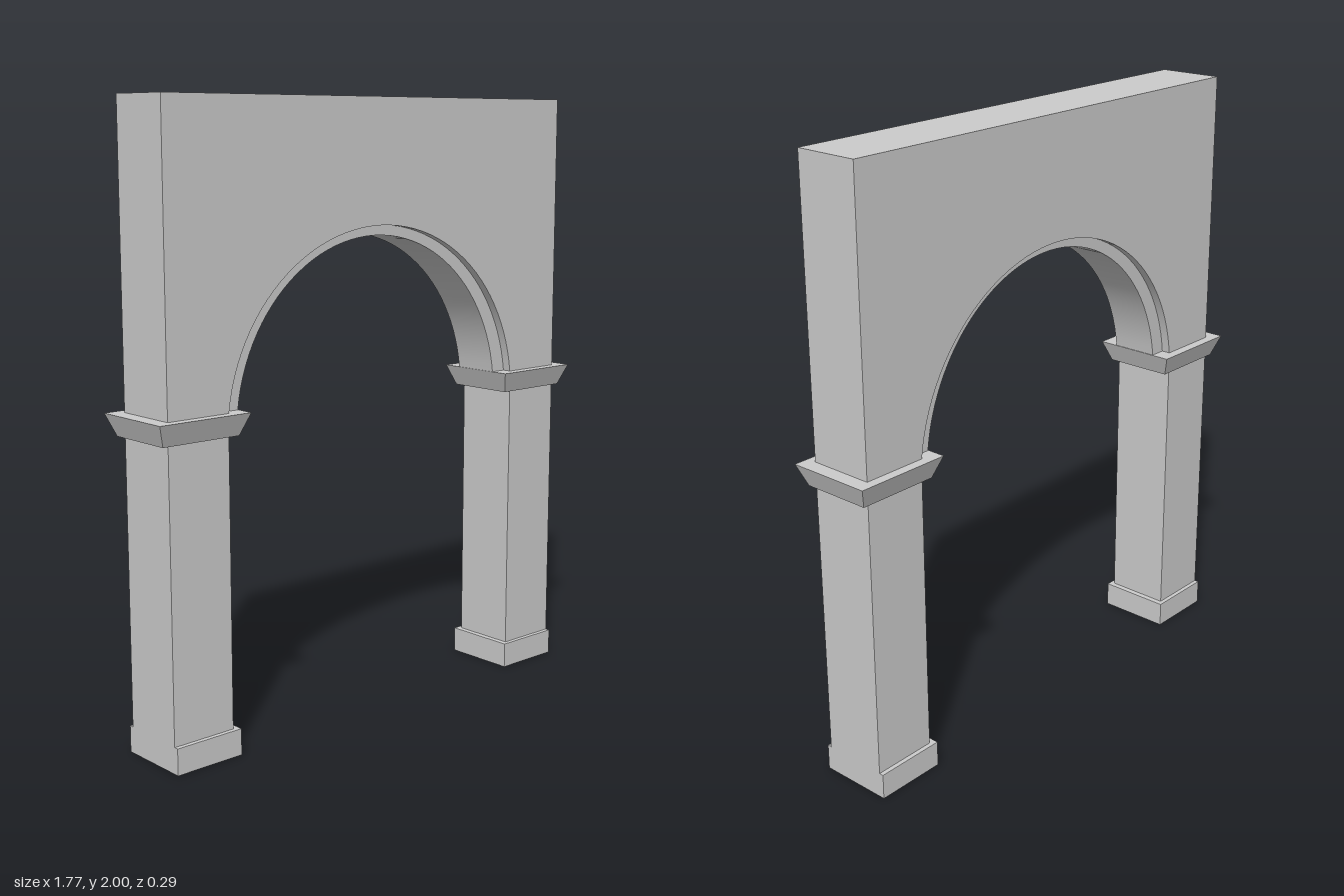
import * as THREE from 'three';
import { toCreasedNormals } from 'three/addons/utils/BufferGeometryUtils.js';

const WALL_X = 0.835, WALL_Z = 0.11;   // half width and half depth of the wall
const SPRING = 1.07, CENTRE = 1.0;     // top of capitals, centre height of the arch
const material = new THREE.MeshStandardMaterial({ color: 0xcccccc });

function addMesh(parent, name, geometry) {
  const mesh = new THREE.Mesh(geometry, material);
  mesh.name = name;
  parent.add(mesh);
  return mesh;
}

// Points of an elliptical arch from right springing, over the crown, to the left
function archPoints(rx, ry, bottom = SPRING, steps = 48) {
  const start = Math.asin((bottom - CENTRE) / ry);
  return Array.from({ length: steps + 1 }, (_, i) => {
    const a = start + (Math.PI - 2 * start) * i / steps;
    return new THREE.Vector2(rx * Math.cos(a), CENTRE + ry * Math.sin(a));
  });
}

// Extrude an xy outline symmetrically about z = 0
function slab(points, halfDepth) {
  const g = new THREE.ExtrudeGeometry(new THREE.Shape(points), { depth: 2 * halfDepth, bevelEnabled: false });
  g.translate(0, 0, -halfDepth);
  return toCreasedNormals(g, 0.5);
}

function rectangle(Type, x0, x1, z) {
  return new Type([[x0, -z], [x1, -z], [x1, z], [x0, z]].map(p => new THREE.Vector2(...p)));
}

// Upright rectangular tube, hollow like the visible underside
function hollowBlock(x0, x1, z, y0, y1, wall) {
  const shape = rectangle(THREE.Shape, x0, x1, z);
  shape.holes.push(rectangle(THREE.Path, x0 + wall, x1 - wall, z - wall));
  const g = new THREE.ExtrudeGeometry(shape, { depth: y1 - y0, bevelEnabled: false });
  return g.rotateX(-Math.PI / 2).translate(0, y0, 0);
}

// Capital that flares outward towards the top
function flaredBlock(x, y0, y1, bottom, top) {
  const g = new THREE.BoxGeometry(2, y1 - y0, 2);
  const p = g.attributes.position;
  for (let i = 0; i < p.count; i++) {
    const [hx, hz] = p.getY(i) > 0 ? top : bottom;
    p.setX(i, p.getX(i) * hx);
    p.setZ(i, p.getZ(i) * hz);
  }
  g.translate(x, (y0 + y1) / 2, 0);
  const flat = g.toNonIndexed();
  flat.computeVertexNormals();
  return flat;
}

export function createModel() {
  const model = new THREE.Group();
  model.name = 'archway';

  // Wall above the opening
  addMesh(model, 'archWall', slab([
    ...archPoints(0.618, 0.6),
    new THREE.Vector2(-WALL_X, SPRING), new THREE.Vector2(-WALL_X, 2),
    new THREE.Vector2(WALL_X, 2), new THREE.Vector2(WALL_X, SPRING),
  ], WALL_Z));

  // Recessed inner ring lining the arch
  addMesh(model, 'archLining', slab([
    ...archPoints(0.618, 0.6),
    ...archPoints(0.562, 0.567).reverse(),
  ], 0.08));

  // Pillars with base and capital on both sides
  for (const [side, s] of [['left', 1], ['right', -1]]) {
    const pillar = new THREE.Group();
    pillar.name = side + 'Pillar';
    const span = (inner, outer) => s > 0 ? [inner, outer] : [-outer, -inner];
    addMesh(pillar, side + 'Base', hollowBlock(...span(0.595, WALL_X), 0.125, 0, 0.085, 0.03));
    addMesh(pillar, side + 'Shaft', hollowBlock(...span(0.615, WALL_X), WALL_Z, 0.04, 1.0, 0.05));
    addMesh(pillar, side + 'Capital', flaredBlock(s * 0.72, 1.0, SPRING, [0.138, 0.117], [0.165, 0.143]));
    model.add(pillar);
  }
  return model;
}
